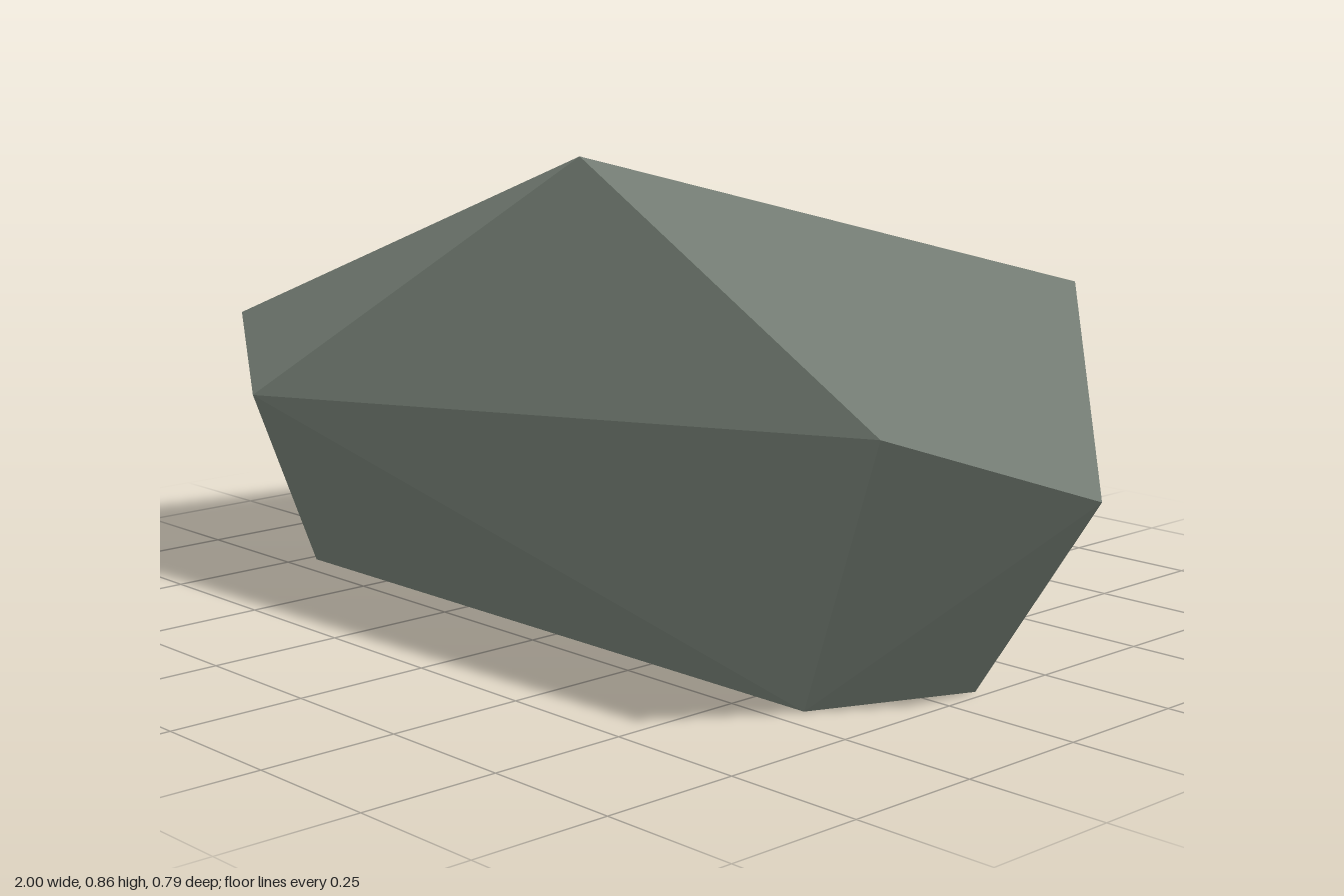
import * as THREE from 'three';
import { ConvexGeometry } from 'three/addons/geometries/ConvexGeometry.js';

export function createModel() {
  const model = new THREE.Group();
  model.name = 'rock';

  const stone = new THREE.MeshStandardMaterial({ color: 0x7d877d, flatShading: true });
  stone.name = 'grey green stone';

  // Corners of the faceted boulder, ring by ring
  const corners = [
    // flat base
    [-0.73, 0, 0.195], [0.61, 0, 0.195], [0.73, 0, -0.09], [-0.73, 0, -0.17],
    // widest ring
    [-1, 0.468, 0.175], [-0.645, 0.372, 0.393], [0.85, 0.498, 0.293],
    [1, 0.374, -0.053], [0.513, 0.486, -0.362], [-0.998, 0.3, -0.393],
    // crest
    [0.05, 0.858, 0.178], [0.935, 0.711, -0.053], [-0.42, 0.763, -0.152],
  ].map((p) => new THREE.Vector3(...p));

  // Flat facets wrapped around the corners
  const boulder = new THREE.Mesh(new ConvexGeometry(corners), stone);
  boulder.name = 'boulder';
  model.add(boulder);

  return model;
}
